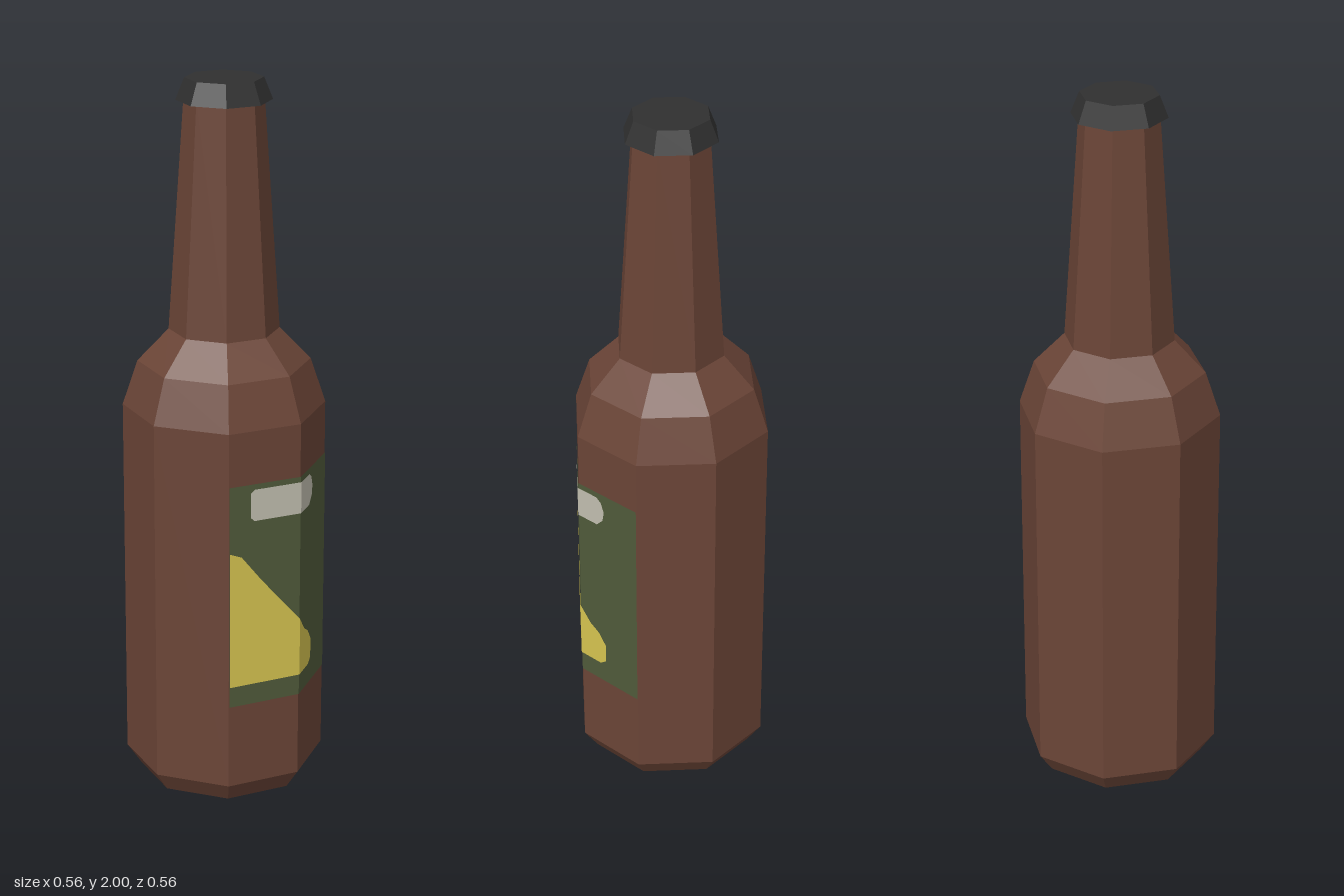
import * as THREE from 'three';

const SIDES = 8;
const RADIUS = 0.28;
const SLOPE = Math.tan(Math.PI / 8); // depth lost per unit of x on the two front facets

function material(name, color) {
  const m = new THREE.MeshStandardMaterial({ color, flatShading: true });
  m.name = name;
  return m;
}

// Eight-sided turned part with a corner facing the front
function turned(name, profile, mat) {
  const points = profile.map(([r, y]) => new THREE.Vector2(r, y));
  const mesh = new THREE.Mesh(new THREE.LatheGeometry(points, SIDES), mat);
  mesh.name = name;
  return mesh;
}

// Keep the part of an outline on one side of x = 0
function clipHalf(outline, side) {
  const out = [];
  outline.forEach(([x, y], i) => {
    const [nx, ny] = outline[(i + 1) % outline.length];
    if (x * side >= 0) out.push(new THREE.Vector2(x, y));
    if (x * nx < 0) out.push(new THREE.Vector2(0, y + (ny - y) * (x / (x - nx))));
  });
  return out;
}

// Flat print folded over the front corner, lifted slightly off the glass
function wrapped(name, outline, lift, mat) {
  const group = new THREE.Group();
  group.name = name;
  for (const side of [-1, 1]) {
    const geo = new THREE.ShapeGeometry(new THREE.Shape(clipHalf(outline, side)));
    const pos = geo.attributes.position;
    for (let i = 0; i < pos.count; i++) {
      pos.setZ(i, RADIUS + lift - Math.abs(pos.getX(i)) * SLOPE);
    }
    geo.computeVertexNormals();
    const mesh = new THREE.Mesh(geo, mat);
    mesh.name = name + (side < 0 ? 'Right' : 'Left');
    group.add(mesh);
  }
  return group;
}

export function createModel() {
  const glass = material('brown glass', 0x6b4537);
  const black = material('black cap', 0x303030);
  const green = material('green label', 0x505a3a);
  const yellow = material('yellow print', 0xd6c450);
  const cream = material('pale print', 0xc2bfb0);

  const model = new THREE.Group();
  model.name = 'bottle';

  // Body, shoulder and neck
  model.add(turned('bottleGlass', [
    [0, 0], [0.24, 0], [RADIUS, 0.058], [RADIUS, 1.095],
    [0.238, 1.22], [0.152, 1.31], [0.108, 1.95],
  ], glass));

  // Flared cap
  model.add(turned('cap', [[0, 1.94], [0.13, 1.94], [0.106, 2], [0, 2]], black));

  // Label over the two front facets
  const w = RADIUS * Math.SQRT1_2;
  model.add(wrapped('label', [[-w, 0.3], [w, 0.3], [w, 0.945], [-w, 0.945]], 0.002, green));

  // Yellow wedge
  model.add(wrapped('labelWedge', [
    [-w, 0.36], [0.07, 0.36], [0.088, 0.375], [0.09, 0.43], [0.065, 0.465],
    [0.035, 0.485], [-0.05, 0.59], [-0.11, 0.665], [-0.165, 0.74], [-w, 0.755],
  ], 0.004, yellow));

  // Pale band, rounded at one end
  model.add(wrapped('labelBand', [
    [-0.13, 0.84], [0.065, 0.84], [0.085, 0.862], [0.09, 0.89],
    [0.08, 0.918], [0.065, 0.93], [-0.13, 0.93], [-0.14, 0.92], [-0.14, 0.85],
  ], 0.004, cream));

  return model;
}
